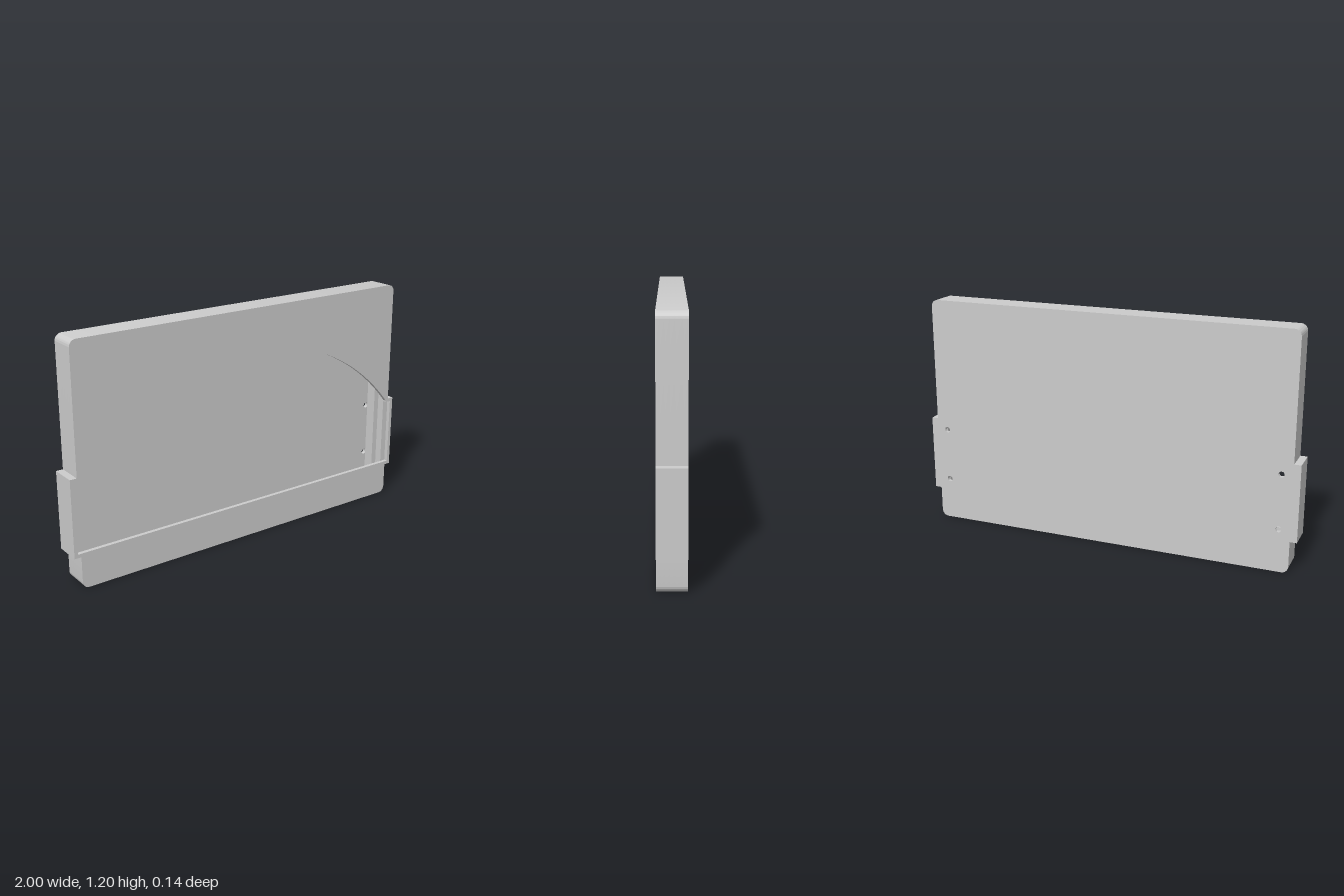
import * as THREE from 'three';
import { toCreasedNormals } from 'three/addons/utils/BufferGeometryUtils.js';

const W = 0.965, H = 1.203, R = 0.035;   // case half width, height, corner radius
const EAR = { x: 1, y0: 0.165, y1: 0.56 };
const SLOT = 0.18;                       // half width of the cable slot
const FLOOR = 0.02, CEILING = 1.18;      // cavity limits

const material = new THREE.MeshStandardMaterial({ color: 0xcccccc });

// Case outline with side ears, counter-clockwise from the bottom slot
function outline() {
  const s = new THREE.Shape();
  s.moveTo(SLOT, 0);
  s.lineTo(W - R, 0);
  s.absarc(W - R, R, R, -Math.PI / 2, 0);
  s.lineTo(W, EAR.y0);
  s.lineTo(EAR.x, EAR.y0);
  s.lineTo(EAR.x, EAR.y1);
  s.lineTo(W, EAR.y1);
  s.absarc(W - R, H - R, R, 0, Math.PI / 2);
  s.absarc(-W + R, H - R, R, Math.PI / 2, Math.PI);
  s.lineTo(-W, EAR.y1);
  s.lineTo(-EAR.x, EAR.y1);
  s.lineTo(-EAR.x, EAR.y0);
  s.lineTo(-W, EAR.y0);
  s.absarc(-W + R, R, R, Math.PI, Math.PI * 1.5);
  s.lineTo(-SLOT, 0);
  return s;
}

const cavity = (w) => [[-w, FLOOR], [-w, CEILING], [w, CEILING], [w, FLOOR]];

// Frame layer around a cavity, closed at the bottom or open at the slot
function frame(w, slotted) {
  const s = outline();
  const points = cavity(w);
  if (slotted) {
    [[-SLOT, FLOOR], ...points, [SLOT, FLOOR]].forEach(([x, y]) => s.lineTo(x, y));
    s.closePath();
  } else {
    s.holes.push(new THREE.Path(points.map(([x, y]) => new THREE.Vector2(x, y))));
  }
  return s;
}

// Front plate with the arched opening that widens into the ears
function frontShape() {
  const s = outline();
  const p = new THREE.Path();
  const x = 0.95, spring = 0.55, rise = 0.45;
  const r = (x * x + rise * rise) / (2 * rise);
  const cy = 1 - r;
  const a = Math.atan2(spring - cy, x);
  p.moveTo(-0.982, 0.183);
  p.lineTo(0.982, 0.183);
  p.lineTo(0.982, 0.542);
  p.lineTo(x, 0.542);
  p.absarc(0, cy, r, a, Math.PI - a);
  p.lineTo(-x, 0.542);
  p.lineTo(-0.982, 0.542);
  p.closePath();
  s.holes.push(p);
  return s;
}

// Back plate with four screw holes
function backShape() {
  const s = outline();
  for (const x of [-0.908, 0.908]) {
    for (const y of [0.222, 0.502]) {
      const hole = new THREE.Path();
      hole.absarc(x, y, 0.015, 0, Math.PI * 2, true);
      s.holes.push(hole);
    }
  }
  return s;
}

export function createModel() {
  const group = new THREE.Group();
  group.name = 'wallMountCase';

  const addLayer = (name, shape, z0, z1) => {
    const geometry = new THREE.ExtrudeGeometry(shape, {
      depth: z1 - z0, bevelEnabled: false, curveSegments: 32,
    });
    geometry.translate(0, 0, z0);
    const mesh = new THREE.Mesh(toCreasedNormals(geometry, Math.PI / 6), material);
    mesh.name = name;
    group.add(mesh);
  };

  // Layers from back to front; the cavity narrows towards the back
  addLayer('backPlate', backShape(), -0.068, -0.047);
  addLayer('innerFrameBack', frame(0.92, false), -0.047, -0.015);
  addLayer('innerFrameSlot', frame(0.92, true), -0.015, 0.008);
  addLayer('outerFrameSlot', frame(0.95, true), 0.008, 0.03);
  addLayer('outerFrameFront', frame(0.95, false), 0.03, 0.048);
  addLayer('frontPlate', frontShape(), 0.048, 0.068);

  return group;
}
